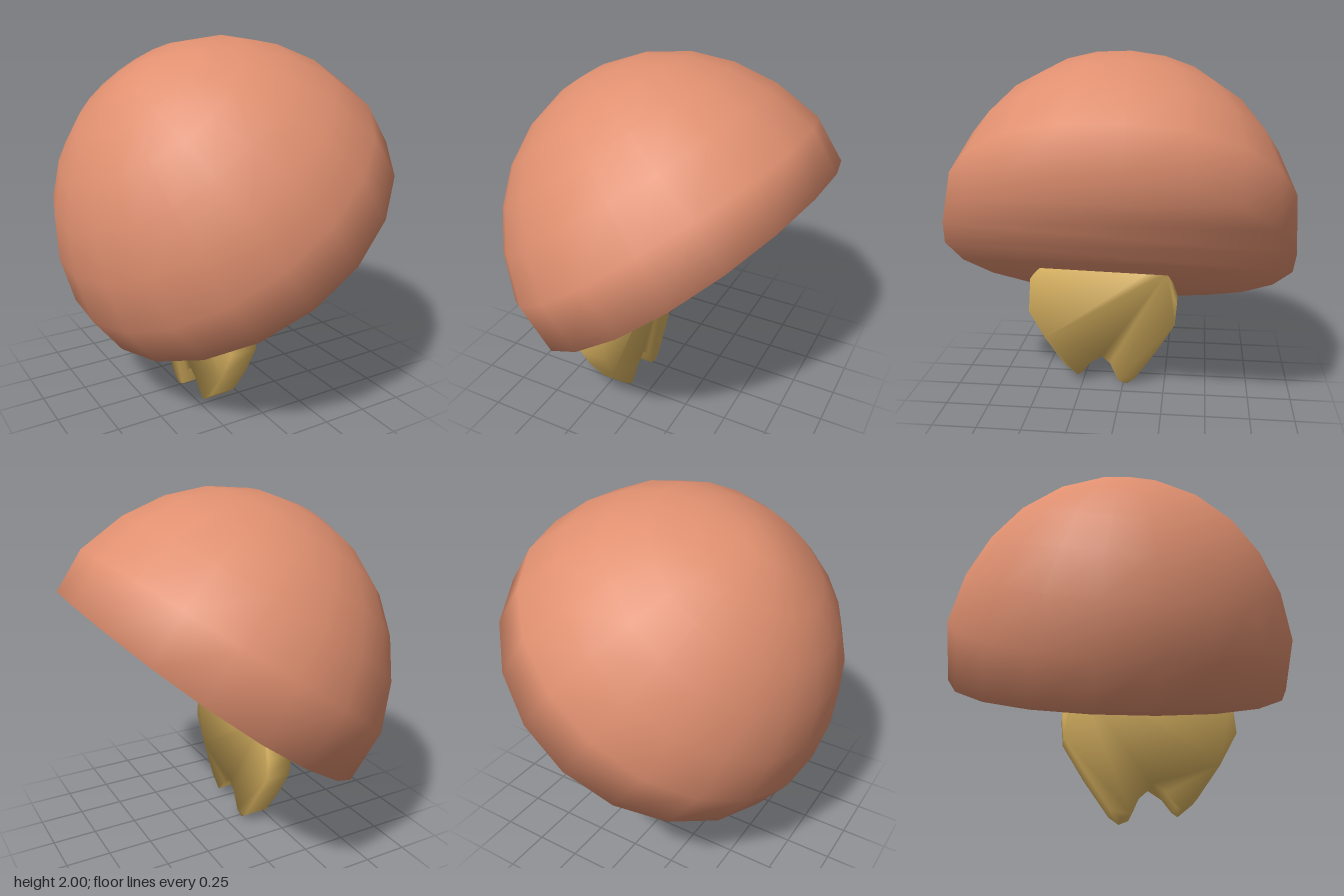
import * as THREE from 'three';
import { mergeVertices } from 'three/addons/utils/BufferGeometryUtils.js';

const SIDES = 20;
const PHASE = -Math.PI / 30;

// Domed cap: rings of vertices plus a strip-filled underside, smoothly shaded
function capGeometry() {
  const rings = [[0.96, 0], [0.968, 0.25], [0.875, 0.51], [0.742, 0.72],
    [0.578, 0.885], [0.37, 1.01], [0.145, 1.075]]; // radius, height
  const pos = [], index = [];
  rings.forEach(([r, h], k) => {
    for (let i = 0; i < SIDES; i++) {
      const a = PHASE + (i / SIDES) * Math.PI * 2;
      const s = Math.sin(a);
      // The rim sags at the front and back
      const sag = k === 0 ? 0.02 * s - 0.06 * s * s : 0;
      pos.push(r * Math.cos(a), h + sag, r * s);
    }
  });
  const apex = pos.length / 3;
  pos.push(0, 1.085, 0);
  for (let k = 0; k < rings.length; k++) {
    for (let i = 0; i < SIDES; i++) {
      const j = (i + 1) % SIDES;
      const a = k * SIDES + i, b = k * SIDES + j;
      if (k === rings.length - 1) index.push(a, apex, b);
      else index.push(a, a + SIDES, b, b, a + SIDES, b + SIDES);
    }
  }
  // Underside in strips from side to side; the lowest strips face inward
  for (let i = 0; i < SIDES / 2; i++) {
    const p = i, q = i + 1, r = (SIDES - i) % SIDES, s = SIDES - i - 1;
    const strip = [];
    if (p !== r) strip.push(p, q, r);
    if (q !== s) strip.push(q, s, r);
    index.push(...(i < 7 ? strip : strip.reverse()));
  }
  const g = new THREE.BufferGeometry();
  g.setAttribute('position', new THREE.Float32BufferAttribute(pos, 3));
  g.setIndex(index);
  g.computeVertexNormals();
  // Rim normals lean outward and down, so the underside shades as one soft curve
  const normal = g.attributes.normal;
  for (let i = 0; i < SIDES; i++) {
    const a = PHASE + (i / SIDES) * Math.PI * 2;
    const n = new THREE.Vector3(Math.cos(a), -0.75, Math.sin(a)).normalize();
    normal.setXYZ(i, n.x, n.y, n.z);
  }
  return g;
}

// Flat stem with two pointed feet, outlined in z and y
function stemGeometry() {
  const outline = [[0.5, 0.8], [0.5, 0.73], [0.56, 0.66], [0.575, 0.45], [0.48, 0.28],
    [0.36, 0.11], [0.28, 0.045], [0.25, 0.065], [0.2, 0.13], [0.13, 0.175], [0.08, 0.13],
    [0.03, 0.02], [-0.02, 0], [-0.07, 0.035], [-0.2, 0.22], [-0.31, 0.4],
    [-0.32, 0.53], [-0.295, 0.6], [-0.26, 0.73], [-0.26, 0.8]];
  const shape = new THREE.Shape(outline.map(([z, y]) => new THREE.Vector2(z, y)));
  let g = new THREE.ExtrudeGeometry(shape, { depth: 0.15, bevelEnabled: false });
  g.deleteAttribute('normal');
  g.deleteAttribute('uv');
  g = mergeVertices(g);
  g.rotateY(-Math.PI / 2);
  g.translate(-0.1, 0, 0);
  g.computeVertexNormals();
  // Even blend of face and edge normals for soft sides
  const { position, normal } = g.attributes;
  for (let i = 0; i < position.count; i++) {
    const n = new THREE.Vector3(0, normal.getY(i), normal.getZ(i)).normalize();
    n.x = position.getX(i) > -0.175 ? 1 : -1;
    n.normalize();
    normal.setXYZ(i, n.x, n.y, n.z);
  }
  return g;
}

export function createModel() {
  const terracotta = new THREE.MeshStandardMaterial({ color: 0xe09070, side: THREE.DoubleSide });
  terracotta.name = 'terracotta';
  const ochre = new THREE.MeshStandardMaterial({ color: 0xdcb562 });
  ochre.name = 'ochre';

  const model = new THREE.Group();
  model.name = 'mushroom';

  const cap = new THREE.Mesh(capGeometry(), terracotta);
  cap.name = 'cap';
  cap.position.set(0.12, 0.945, 0);
  const axis = new THREE.Vector3(-0.592, 0.806, 0).normalize();
  cap.quaternion.setFromUnitVectors(new THREE.Vector3(0, 1, 0), axis);
  model.add(cap);

  const stem = new THREE.Mesh(stemGeometry(), ochre);
  stem.name = 'stem';
  model.add(stem);

  return model;
}
